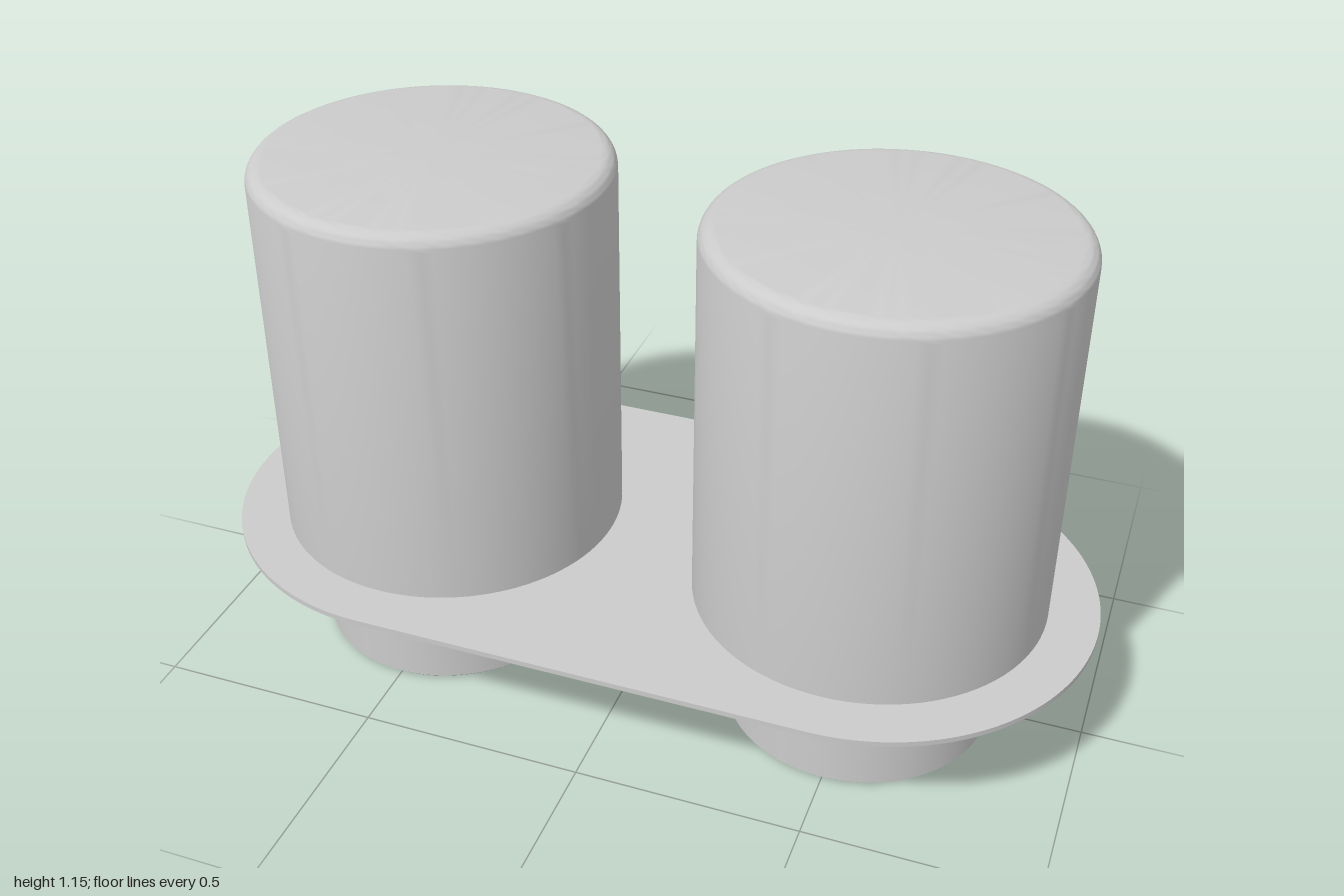
import * as THREE from 'three';
import { toCreasedNormals } from 'three/addons/utils/BufferGeometryUtils.js';

const material = new THREE.MeshStandardMaterial({ color: 0xcccccc });

function addMesh(parent, name, geometry) {
  const mesh = new THREE.Mesh(geometry, material);
  mesh.name = name;
  parent.add(mesh);
  return mesh;
}

// Revolved solid with sharp profile corners
function turned(profile, segments = 96) {
  const points = profile.map(([r, y]) => new THREE.Vector2(r, y));
  return toCreasedNormals(new THREE.LatheGeometry(points, segments), 0.6);
}

// Stadium-shaped mounting plate with a round opening under each housing
function plateGeometry() {
  const shape = new THREE.Shape();
  shape.absarc(0.5, 0, 0.5, -Math.PI / 2, Math.PI / 2, false);
  shape.absarc(-0.5, 0, 0.5, Math.PI / 2, Math.PI * 1.5, false);
  shape.closePath();
  for (const x of [-0.5, 0.5]) {
    const hole = new THREE.Path();
    hole.absarc(x, 0, 0.375, 0, Math.PI * 2, true);
    shape.holes.push(hole);
  }
  const plate = new THREE.ExtrudeGeometry(shape, { depth: 0.012, bevelEnabled: false, curveSegments: 48 });
  plate.rotateX(-Math.PI / 2);
  return toCreasedNormals(plate, 0.6);
}

// Open-bottomed housing with a rounded top edge
function housingGeometry() {
  const top = 1.155, radius = 0.39, round = 0.035;
  const profile = [[0, 1.14], [0.375, 1.14], [0.375, 0.268], [radius, 0.268]];
  for (let i = 0; i <= 8; i++) {
    const a = (i / 8) * Math.PI / 2;
    profile.push([radius - round + round * Math.cos(a), top - round + round * Math.sin(a)]);
  }
  profile.push([0, top]);
  return turned(profile);
}

// Toothed ring set inside the lamp mouth
function toothedRingGeometry(teeth = 60) {
  const shape = new THREE.Shape();
  shape.absarc(0, 0, 0.25, 0, Math.PI * 2, false);
  const hole = new THREE.Path();
  for (let i = 0; i < teeth * 4; i++) {
    const a = -(i / (teeth * 4)) * Math.PI * 2;
    const r = i % 4 < 2 ? 0.232 : 0.24;
    hole[i ? 'lineTo' : 'moveTo'](r * Math.cos(a), r * Math.sin(a));
  }
  hole.closePath();
  shape.holes.push(hole);
  const ring = new THREE.ExtrudeGeometry(shape, { depth: 0.045, bevelEnabled: false, curveSegments: 48 });
  ring.rotateX(-Math.PI / 2);
  return toCreasedNormals(ring, 0.3);
}

export function createModel() {
  const model = new THREE.Group();
  model.name = 'twinSpotlight';
  addMesh(model, 'mountingPlate', plateGeometry()).position.y = 0.265;

  const housing = housingGeometry();
  // Lamp body with a stepped rim around its recessed lens
  const body = turned([
    [0, 0.06], [0.245, 0.06], [0.245, 0.016], [0.262, 0.016], [0.268, 0],
    [0.29, 0], [0.295, 0.005], [0.295, 0.85], [0, 0.85],
  ]);
  const ring = toothedRingGeometry();
  const pin = toCreasedNormals(new THREE.CylinderGeometry(0.075, 0.075, 0.1, 40).rotateX(Math.PI / 2), 0.6);

  for (const [side, x] of [['left', 0.5], ['right', -0.5]]) {
    const unit = new THREE.Group();
    unit.name = side + 'Spotlight';
    unit.position.x = x;
    addMesh(unit, 'housing', housing);

    // The lamp sits slightly forward in its housing
    const lamp = new THREE.Group();
    lamp.name = 'lamp';
    lamp.position.z = 0.041;
    addMesh(lamp, 'lampBody', body);
    addMesh(lamp, 'toothedRing', ring).position.y = 0.016;
    addMesh(lamp, 'pivotPin', pin).position.set(0, 0.285, 0.248);
    unit.add(lamp);
    model.add(unit);
  }
  return model;
}
